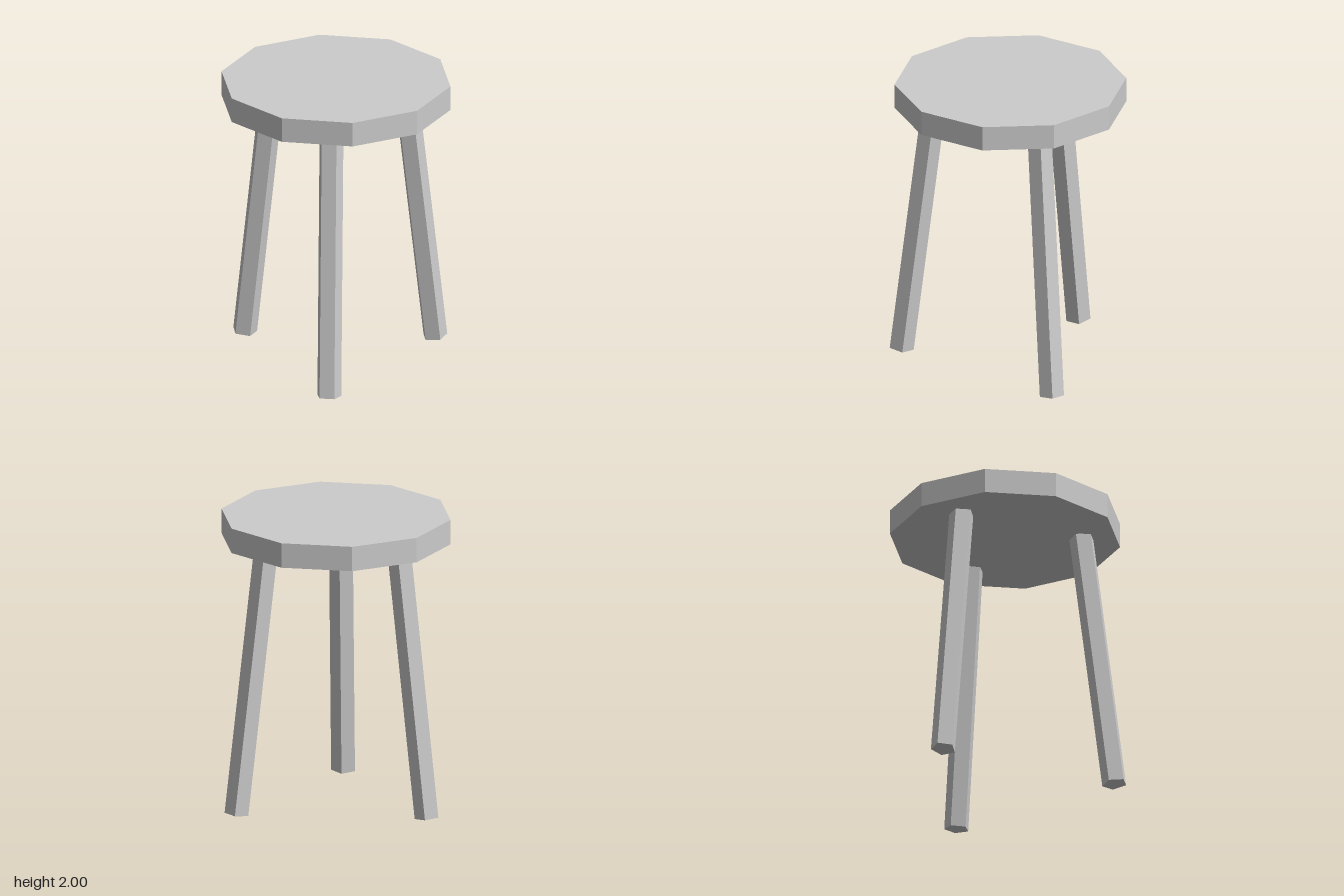
import * as THREE from 'three';

export function createModel() {
  const model = new THREE.Group();
  model.name = 'stool';
  const material = new THREE.MeshStandardMaterial({ color: 0xcccccc, flatShading: true });
  const up = new THREE.Vector3(0, 1, 0);
  const centerX = -0.02;

  // Ten-sided seat slab, with corners pointing along x
  const seat = new THREE.Mesh(new THREE.CylinderGeometry(0.776, 0.776, 0.17, 10), material);
  seat.name = 'seat';
  seat.geometry.rotateY(Math.PI / 2);
  seat.position.set(centerX, 1.915, 0);
  model.add(seat);

  // Three five-sided legs splayed outwards, tilted without twisting
  const legs = [['leftLeg', 0], ['frontRightLeg', 120], ['backRightLeg', 240]];
  for (const [name, degrees] of legs) {
    const a = THREE.MathUtils.degToRad(degrees);
    const at = (radius, y) =>
      new THREE.Vector3(centerX + radius * Math.cos(a), y, radius * Math.sin(a));
    const top = at(0.515, 1.83);
    const foot = at(0.735, 0.01);
    const axis = top.clone().sub(foot);
    const leg = new THREE.Mesh(new THREE.CylinderGeometry(0.085, 0.085, axis.length(), 5), material);
    leg.name = name;
    leg.position.copy(top).add(foot).multiplyScalar(0.5);
    leg.quaternion.setFromUnitVectors(up, axis.normalize());
    model.add(leg);
  }
  return model;
}
